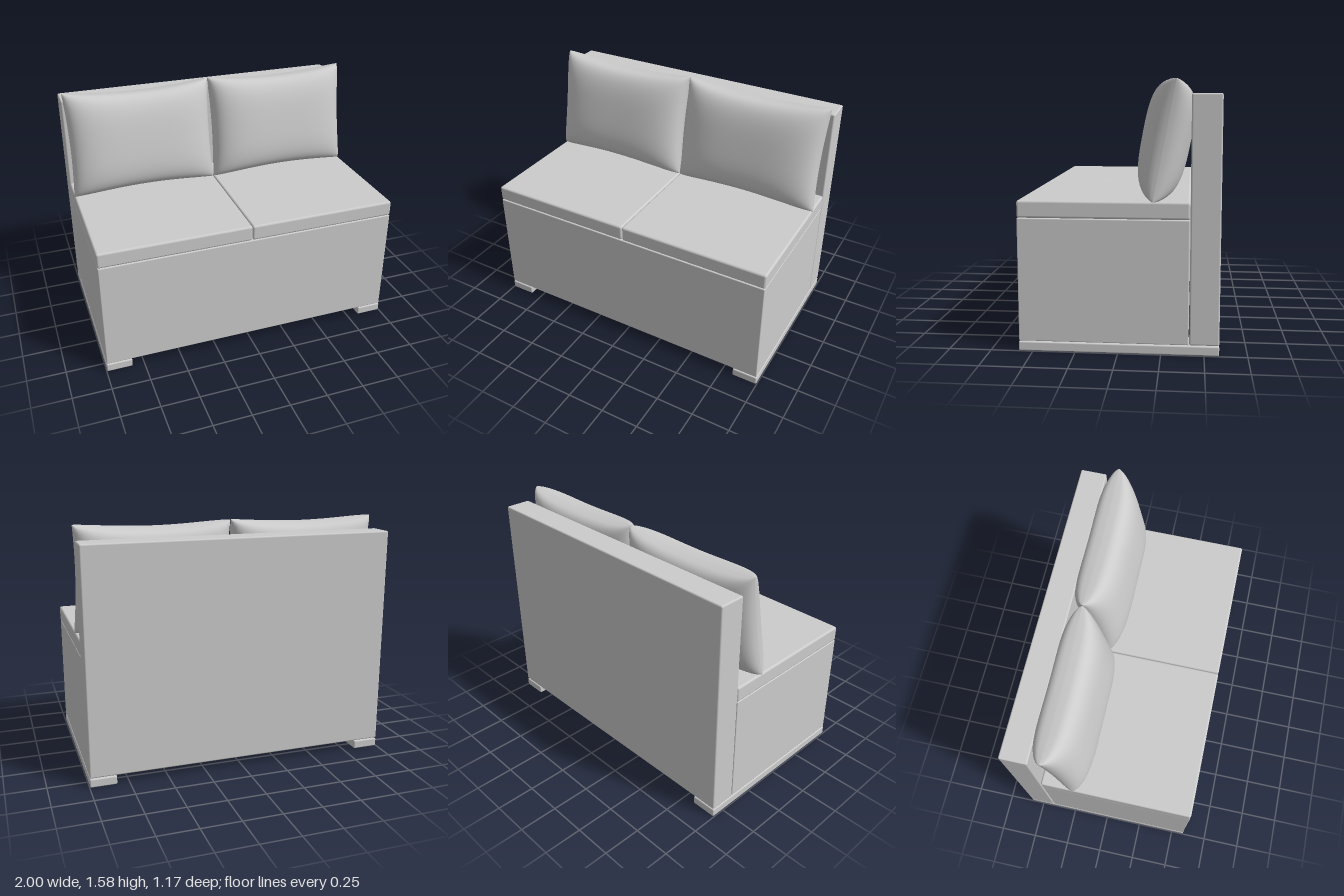
import * as THREE from 'three';
import { RoundedBoxGeometry } from 'three/addons/geometries/RoundedBoxGeometry.js';

const fabric = new THREE.MeshStandardMaterial({ color: 0xcccccc });
fabric.name = 'light grey fabric';

// Rounded block given by its minimum and maximum corners
function block(name, [x0, y0, z0], [x1, y1, z1], radius) {
  const geometry = new RoundedBoxGeometry(x1 - x0, y1 - y0, z1 - z0, 3, radius);
  const mesh = new THREE.Mesh(geometry, fabric);
  mesh.position.set((x0 + x1) / 2, (y0 + y1) / 2, (z0 + z1) / 2);
  mesh.name = name;
  return mesh;
}

// One puffed face of a pillow: flat grid pinched at the edges, swollen in the middle
function pillowFace(side) {
  const geometry = new THREE.PlaneGeometry(2, 2, 36, 36);
  if (side < 0) geometry.rotateY(Math.PI);
  const p = geometry.attributes.position;
  const ease = (s) => Math.sin((s * Math.PI) / 2);
  const puff = (t, power) => Math.pow(Math.max(0, 1 - t ** 4), power);
  for (let i = 0; i < p.count; i++) {
    const a = ease(p.getX(i));
    const b = ease(p.getY(i));
    const x = a * (0.498 - 0.016 * (1 - b * b));
    const y = b * (0.352 - 0.034 * (1 - a * a));
    const depth = 0.147 * puff(a, 0.45) * puff(b, 0.28) * (1 - 0.08 * b * b);
    p.setXYZ(i, x, y, side * depth);
  }
  geometry.computeVertexNormals();
  return new THREE.Mesh(geometry, fabric);
}

function pillow(name) {
  const group = new THREE.Group();
  group.name = name;
  for (const side of [1, -1]) {
    const face = pillowFace(side);
    face.name = side > 0 ? 'pillowFront' : 'pillowBack';
    group.add(face);
  }
  // Leans against the backrest
  group.rotation.x = -0.186;
  return group;
}

export function createModel() {
  const sofa = new THREE.Group();
  sofa.name = 'armlessSofa';

  // Body
  sofa.add(block('seatBase', [-0.995, 0.06, -0.41], [0.995, 0.79, 0.583], 0.006));
  sofa.add(block('backrest', [-0.997, 0.06, -0.587], [0.997, 1.5, -0.414], 0.01));

  for (const side of [-1, 1]) {
    const label = side > 0 ? 'left' : 'right';
    const inner = side > 0 ? 0.001 : -0.997;

    // Seat cushion
    sofa.add(block(label + 'SeatCushion', [inner, 0.791, -0.413], [inner + 0.996, 0.893, 0.583], 0.014));

    // Floor runner under each end
    const run = side > 0 ? 0.828 : -0.997;
    sofa.add(block(label + 'FloorRunner', [run, 0, -0.587], [run + 0.169, 0.056, 0.585], 0.008));

    // Back pillow
    const cushion = pillow(label + 'BackPillow');
    cushion.position.set(side * 0.5, 1.236, -0.265);
    sofa.add(cushion);
  }
  return sofa;
}
